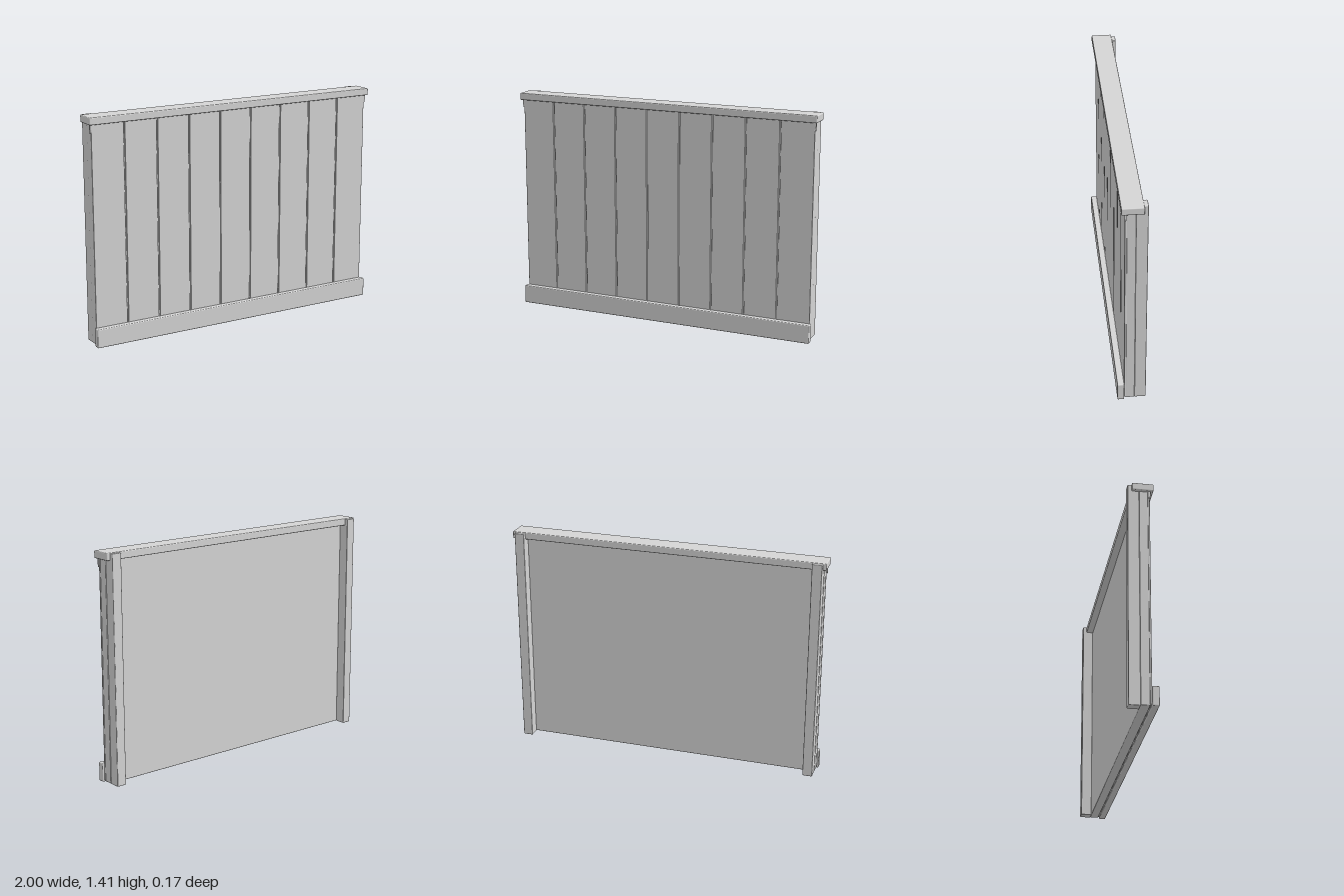
import * as THREE from 'three';
import { RoundedBoxGeometry } from 'three/addons/geometries/RoundedBoxGeometry.js';

export function createModel() {
  const model = new THREE.Group();
  model.name = 'panelledWall';
  const grey = new THREE.MeshStandardMaterial({ color: 0xd4d4d4 });
  grey.name = 'light grey';

  // Box with eased edges, given by its limits and edge radius
  function block(name, x0, x1, y0, y1, z0, z1, r) {
    const mesh = new THREE.Mesh(new RoundedBoxGeometry(x1 - x0, y1 - y0, z1 - z0, 2, r), grey);
    mesh.name = name;
    mesh.position.set((x0 + x1) / 2, (y0 + y1) / 2, (z0 + z1) / 2);
    model.add(mesh);
  }

  // Backing panel behind the boards
  block('backingPanel', -0.98, 0.98, 0.004, 1.368, -0.018, 0.037, 0.005);

  // Nine upright boards with narrow grooves between them
  const pitch = 0.219, gap = 0.007;
  for (let i = 0; i < 9; i++) {
    const x = (i - 4) * pitch, half = (pitch - gap) / 2;
    block('board', x - half, x + half, 0.01, 1.368, 0.033, 0.046, 0.004);
  }

  // Top cap and skirting board
  block('topCap', -1, 1, 1.365, 1.41, -0.062, 0.067, 0.006);
  block('skirtingBoard', -0.992, 0.992, 0, 0.118, 0.045, 0.086, 0.006);

  // Posts at the back and small tapered end trims under the cap
  const trimShape = new THREE.Shape([
    new THREE.Vector2(0.038, 1.367),
    new THREE.Vector2(0.049, 1.367),
    new THREE.Vector2(0.048, 1.335),
    new THREE.Vector2(0.043, 1.315),
    new THREE.Vector2(0.038, 1.325),
  ]);
  const trimGeometry = new THREE.ExtrudeGeometry(trimShape, { depth: 0.01, bevelEnabled: false });
  for (const side of [-1, 1]) {
    const x = side * 0.947;
    block('backPost', x - 0.031, x + 0.031, 0.002, 1.407, -0.086, -0.017, 0.005);
    const trim = new THREE.Mesh(trimGeometry, grey);
    trim.name = 'endTrim';
    // Shape x becomes model z, extrusion runs along -x
    trim.rotation.y = -Math.PI / 2;
    trim.position.x = side * 0.984 + 0.005;
    model.add(trim);
  }
  return model;
}
